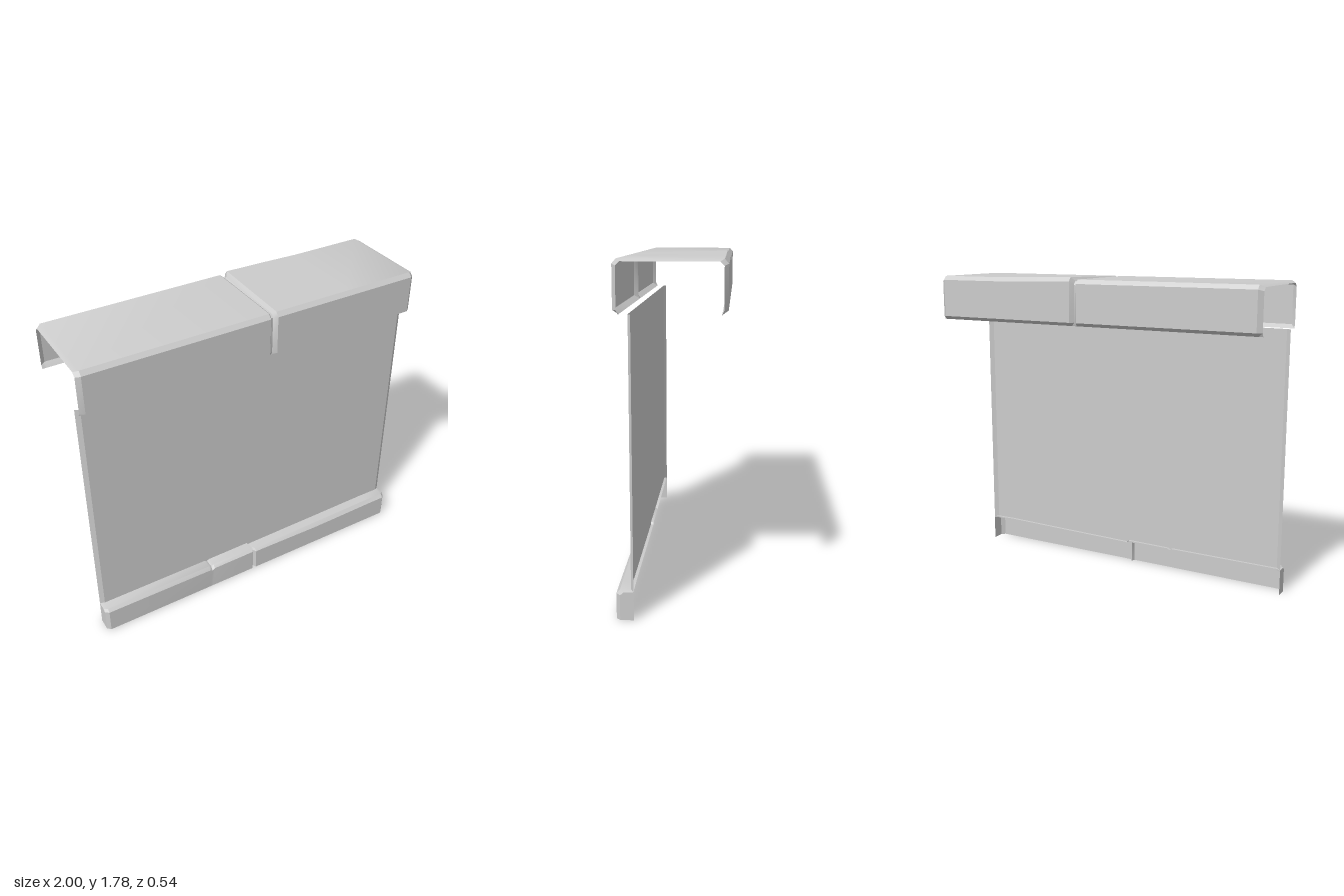
import * as THREE from 'three';
import { toCreasedNormals } from 'three/addons/utils/BufferGeometryUtils.js';

const material = new THREE.MeshStandardMaterial({ color: 0xcccccc, side: THREE.DoubleSide });

// Open shell through cross-sections along x; each section is { x, pts: [[z, y], ...] }
function loft(name, sections) {
  const n = sections[0].pts.length;
  const pos = [], idx = [];
  sections.forEach(({ x, pts }) => pts.forEach(([z, y]) => pos.push(x, y, z)));
  for (let i = 0; i < sections.length - 1; i++) {
    for (let j = 0; j < n - 1; j++) {
      const a = i * n + j, b = a + n;
      idx.push(a, b, b + 1, a, b + 1, a + 1);
    }
  }
  const geo = new THREE.BufferGeometry();
  geo.setAttribute('position', new THREE.Float32BufferAttribute(pos, 3));
  geo.setIndex(idx);
  const mesh = new THREE.Mesh(toCreasedNormals(geo, 0.5), material);
  mesh.name = name;
  return mesh;
}

// Coping: upside-down channel; d sinks the surface, lift raises the back edge
function copingSection([x, d, lift]) {
  const z = 0.27 - d, top = 1.765 - d * 0.6;
  return {
    x,
    pts: [
      [0.24, 1.51], [z, 1.53], [z, 1.742 - d * 0.4], [z - 0.02, top],
      [-z + 0.02, top + lift], [-z, 1.742 - d * 0.4 + lift], [-z, 1.53], [-0.24, 1.51],
    ],
  };
}

// Skirting: front face, chamfer and ledge running back to the panel
function skirtingSection([x, z, edge, top]) {
  return { x, pts: [[z, 0], [z, edge], [Math.max(z - 0.018, 0.182), top], [0.182, top]] };
}

export function createModel() {
  const group = new THREE.Group();

  // Wall panel with bent-back side edges
  group.add(loft('wallPanel', [[-1, 0.183], [-0.975, 0.198], [0.975, 0.198], [1, 0.183]]
    .map(([x, z]) => ({ x, pts: [[z, 0.14], [z, 1.51]] }))));

  // Coping in two lengths with a joint groove between them
  group.add(loft('coping', [
    [-1, 0.02, 0], [-0.975, 0, 0], [0.062, 0, 0],
    [0.078, 0.022, 0], [0.088, 0.022, 0.004],
    [0.106, 0, 0.012], [0.32, 0, 0.008], [0.55, 0, 0.001], [0.975, 0, 0], [1, 0.02, 0],
  ].map(copingSection)));

  // Skirting with closed ends, a small nick and a joint groove
  group.add(loft('skirting', [
    [-1, 0.182, 0.135, 0.145], [-1, 0.25, 0.135, 0.148], [-0.98, 0.27, 0.14, 0.155],
    [-0.32, 0.27, 0.135, 0.153], [-0.305, 0.268, 0.123, 0.145], [-0.29, 0.27, 0.138, 0.153],
    [-0.022, 0.27, 0.14, 0.155], [-0.015, 0.25, 0.13, 0.142], [-0.008, 0.25, 0.13, 0.142],
    [0.002, 0.27, 0.133, 0.144], [0.45, 0.27, 0.125, 0.149], [0.85, 0.27, 0.133, 0.155],
    [0.98, 0.27, 0.134, 0.153], [1, 0.25, 0.13, 0.146], [1, 0.182, 0.13, 0.145],
  ].map(skirtingSection)));

  return group;
}
